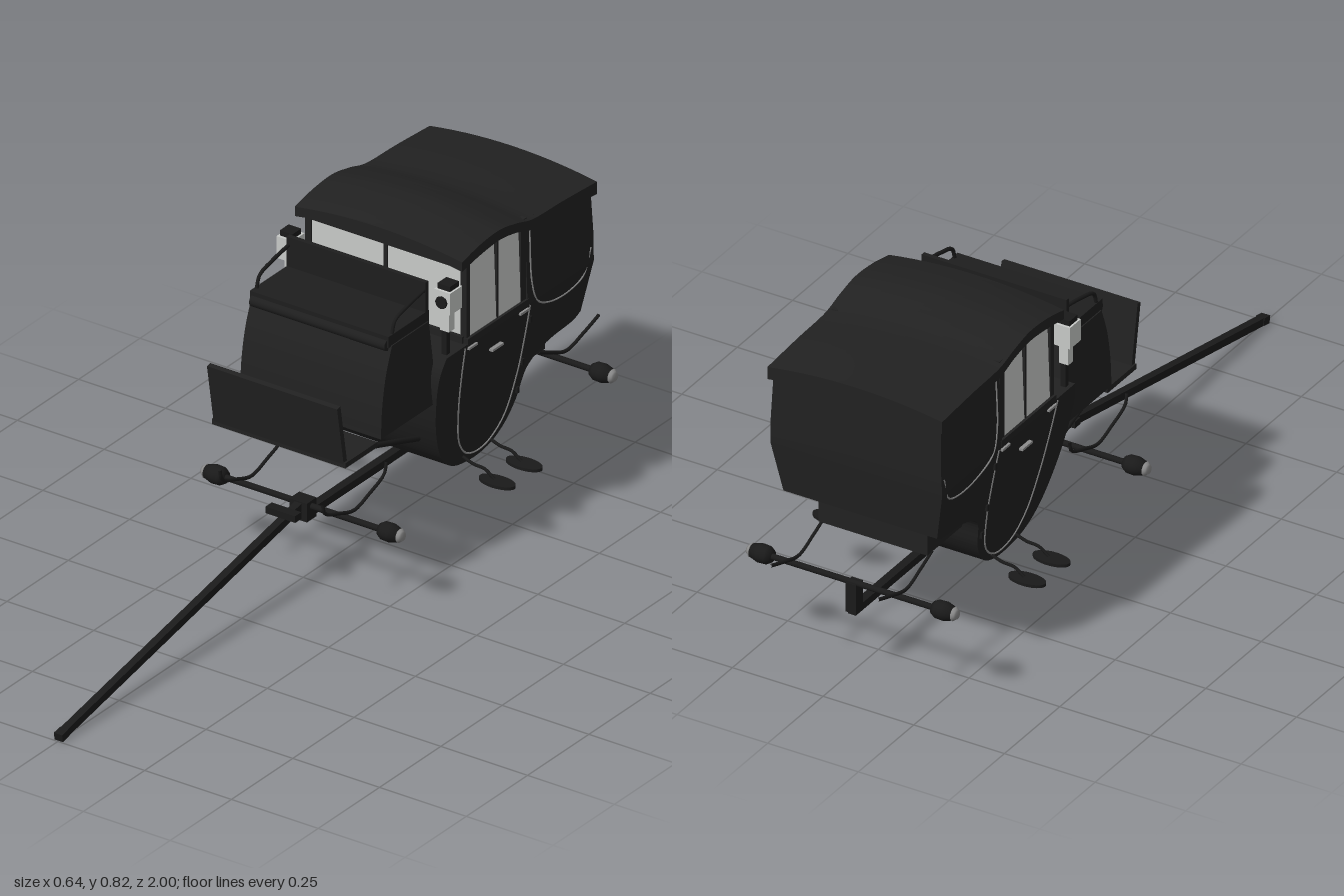
import * as THREE from 'three';
import { toCreasedNormals } from 'three/addons/utils/BufferGeometryUtils.js';

const mat = (name, color, side = THREE.FrontSide) => {
  const m = new THREE.MeshStandardMaterial({ color, side });
  m.name = name;
  return m;
};

export function createModel() {
  const root = new THREE.Group();
  root.name = 'carriage';
  const paint = mat('black paint', 0x212121);
  const iron = mat('dark iron', 0x1a1a1a);
  const leather = mat('black leather', 0x1e1e1e);
  const glass = mat('pale glass', 0xc8cac8, THREE.DoubleSide);
  const silver = mat('silver trim', 0x8c8c8c);

  const add = (name, geo, material, x = 0, y = 0, z = 0) => {
    const m = new THREE.Mesh(geo, material);
    m.name = name;
    m.position.set(x, y, z);
    root.add(m);
    return m;
  };
  const box = (name, w, h, d, material, x, y, z) =>
    add(name, new THREE.BoxGeometry(w, h, d), material, x, y, z);
  const tube = (name, pts, r, material, seg = 24) => add(name, new THREE.TubeGeometry(
    new THREE.CatmullRomCurve3(pts.map(p => new THREE.Vector3(...p))), seg, r, 6), material);
  // Straight square bar between two points of the same x
  const bar = (name, x, a, b, w, h, material) => {
    const dz = b[0] - a[0], dy = b[1] - a[1];
    const m = box(name, w, h, Math.hypot(dz, dy), material, x, (a[1] + b[1]) / 2, (a[0] + b[0]) / 2);
    m.rotation.x = -Math.atan2(dy, dz);
    return m;
  };
  // Side profile in (z, y) extruded across x, then reshaped by a rule
  const across = (shape, width, rule, steps = 1) => {
    const g = new THREE.ExtrudeGeometry(shape, { depth: width, steps, bevelEnabled: false, curveSegments: 30 });
    g.translate(0, 0, -width / 2).rotateY(-Math.PI / 2);
    const p = g.attributes.position;
    for (let i = 0; rule && i < p.count; i++) {
      const [x, y] = rule(p.getX(i), p.getY(i));
      p.setXY(i, x, y);
    }
    return toCreasedNormals(g, 0.5);
  };
  const V = (z, y) => new THREE.Vector2(z, y);
  const vs = list => list.map(p => V(...p));

  // Half width of the cabin at a height
  const half = y => y < 0.55
    ? THREE.MathUtils.mapLinear(y, 0.175, 0.55, 0.167, 0.237)
    : THREE.MathUtils.mapLinear(y, 0.55, 0.78, 0.237, 0.229);
  const taper = (x, y) => [Math.sign(x) * half(y), y];

  // Lower body with its boat-shaped belly
  const belly = new THREE.Shape();
  belly.moveTo(-0.85, 0.55);
  belly.lineTo(-0.832, 0.415);
  belly.splineThru(vs([[-0.8, 0.4], [-0.7, 0.388], [-0.63, 0.35], [-0.605, 0.27], [-0.57, 0.215], [-0.52, 0.183],
    [-0.45, 0.174], [-0.37, 0.19], [-0.31, 0.24], [-0.265, 0.33], [-0.24, 0.43], [-0.235, 0.5], [-0.25, 0.55]]));
  belly.closePath();
  add('lowerBody', across(belly, 1, taper), paint);

  // Solid rear quarter and the box under it
  const quarter = new THREE.Shape(vs([[-0.58, 0.55], [-0.58, 0.775], [-0.845, 0.755], [-0.852, 0.62], [-0.85, 0.55]]));
  add('rearQuarter', across(quarter, 1, taper), paint);
  box('rearUnderBox', 0.3, 0.09, 0.16, paint, 0, 0.365, -0.695);

  // Arched roof, swept up over the doors
  const roof = new THREE.Shape();
  roof.moveTo(-0.857, 0.745);
  roof.lineTo(-0.857, 0.778);
  roof.splineThru(vs([[-0.72, 0.787], [-0.6, 0.792], [-0.53, 0.81], [-0.46, 0.823], [-0.38, 0.818], [-0.307, 0.803]]));
  roof.lineTo(-0.307, 0.778);
  roof.splineThru(vs([[-0.38, 0.79], [-0.46, 0.796], [-0.53, 0.785], [-0.6, 0.765], [-0.72, 0.758], [-0.857, 0.745]]));
  const crown = (x, y) => [x, y - 0.02 * (x / 0.24) ** 2];
  add('roof', across(roof, 0.482, crown, 14), paint);
  box('frontCornice', 0.476, 0.016, 0.012, paint, 0, 0.768, -0.318);

  // Front window with posts, sill and centre bar
  box('frontGlass', 0.43, 0.225, 0.006, glass, 0, 0.667, -0.343);
  box('frontSill', 0.45, 0.02, 0.02, paint, 0, 0.558, -0.34);
  box('frontMullion', 0.009, 0.225, 0.012, paint, 0, 0.667, -0.341);

  const dash = new THREE.Shape(vs([[-0.345, 0.56], [-0.575, 0.56], [-0.575, 0.773], [-0.52, 0.785], [-0.45, 0.79], [-0.345, 0.772]]));
  for (const s of [1, -1]) {
    // Door window and its frame
    const pane = add('doorGlass', across(dash, 0.004, (x, y) => [x + s * (half(y) - 0.008), y]), glass);
    pane.name = s > 0 ? 'leftDoorGlass' : 'rightDoorGlass';
    for (const [z, w] of [[-0.345, 0.016], [-0.465, 0.007], [-0.572, 0.022]])
      box('windowPost', 0.016, 0.235, w, paint, s * 0.224, 0.662, z);
    box('windowSill', 0.014, 0.016, 0.25, paint, s * 0.231, 0.556, -0.46);

    // Silver lines around door and rear quarter
    const line = (name, pts) => tube(name, pts.map(([z, y]) => [s * half(y), y, z]), 0.0024, silver, 48);
    line('doorTrim', [[-0.327, 0.545], [-0.335, 0.45], [-0.35, 0.35], [-0.38, 0.25], [-0.43, 0.198],
      [-0.5, 0.192], [-0.56, 0.24], [-0.588, 0.35], [-0.593, 0.45], [-0.592, 0.545]]);
    line('quarterTrim', [[-0.597, 0.75], [-0.6, 0.6], [-0.62, 0.545], [-0.68, 0.512], [-0.76, 0.505],
      [-0.815, 0.525], [-0.84, 0.59]]);
    box('doorHandle', 0.012, 0.006, 0.045, silver, s * 0.23, 0.487, -0.462);
    for (const z of [-0.355, -0.565]) box('doorCatch', 0.01, 0.006, 0.035, silver, s * 0.236, 0.538, z);
    for (const y of [0.3, 0.38, 0.5]) box('doorHinge', 0.012, 0.016, 0.008, iron, s * half(y), y, -0.6);

    // Lantern: lamp housing, glass stem and bracket
    box('lampHousing', 0.046, 0.058, 0.05, glass, s * 0.227, 0.7, -0.27);
    box('lampCap', 0.036, 0.014, 0.036, iron, s * 0.227, 0.736, -0.27);
    box('lampStem', 0.026, 0.055, 0.022, glass, s * 0.224, 0.643, -0.27);
    box('lampBracket', 0.014, 0.07, 0.014, iron, s * 0.22, 0.582, -0.27);

    // Paired oval steps on curved irons
    for (const z of [-0.41, -0.52]) {
      const step = add('step', new THREE.CylinderGeometry(0.05, 0.05, 0.008, 24), iron, s * 0.27, 0.161, z);
      step.scale.z = 0.5;
      tube('stepIron', [[s * 0.165, 0.2, z], [s * 0.2, 0.188, z], [s * 0.235, 0.184, z], [s * 0.262, 0.165, z]], 0.004, iron, 12);
    }

    // Leaf springs, footboard irons and seat rail
    const x = s * 0.148;
    tube('frontSpring', [[x, 0.3, 0.13], [x, 0.272, 0.122], [x, 0.245, 0.06], [x, 0.228, 0],
      [x, 0.245, -0.06], [x, 0.272, -0.122], [x, 0.3, -0.13]], 0.0045, iron);
    tube('rearSpring', [[x, 0.32, -0.75], [x, 0.298, -0.8], [x, 0.275, -0.865], [x, 0.292, -0.935], [x, 0.312, -0.996]], 0.0045, iron);
    tube('footboardIron', [[x, 0.395, 0.08], [x, 0.378, -0.03], [x, 0.345, -0.14], [x, 0.305, -0.26]], 0.007, iron);
    tube('seatRail', [[s * 0.195, 0.67, -0.085], [s * 0.195, 0.705, -0.098], [s * 0.195, 0.722, -0.15], [s * 0.195, 0.735, -0.222]], 0.005, iron);
  }
  const lens = add('lampLens', new THREE.CylinderGeometry(0.016, 0.016, 0.008, 8), iron, 0.227, 0.7, -0.243);
  lens.rotation.x = Math.PI / 2;

  // Driver's seat: swelling box, cushion and backrest
  const seat = new THREE.Shape();
  seat.moveTo(-0.26, 0.42);
  seat.lineTo(-0.03, 0.42);
  seat.splineThru(vs([[-0.035, 0.5], [-0.05, 0.58], [-0.075, 0.65]]));
  seat.lineTo(-0.225, 0.65);
  add('driverSeatBox', across(seat, 0.406), paint);
  box('seatCushion', 0.4, 0.03, 0.165, leather, 0, 0.662, -0.148);
  const roll = add('cushionRoll', new THREE.CylinderGeometry(0.015, 0.015, 0.39, 12), leather, 0, 0.652, -0.07);
  roll.rotation.z = Math.PI / 2;
  box('seatBack', 0.4, 0.1, 0.012, leather, 0, 0.706, -0.222);

  // Footboard and floor
  bar('footboard', 0, [0.092, 0.4], [0.12, 0.565], 0.375, 0.014, paint);
  box('footboardFloor', 0.385, 0.014, 0.13, paint, 0, 0.403, 0.035);

  // Undercarriage: perch, draught pole, block
  box('perch', 0.022, 0.02, 0.87, iron, 0, 0.17, -0.435);
  bar('pole', 0, [0.985, 0.014], [0, 0.205], 0.02, 0.02, iron);
  bar('poleTip', 0, [0.998, 0.012], [0.972, 0.017], 0.024, 0.02, iron);
  box('drawBlock', 0.085, 0.018, 0.025, iron, 0, 0.21, 0.08);
  box('axleBlock', 0.05, 0.05, 0.04, iron, 0, 0.19, 0);
  box('rearAxleBlock', 0.03, 0.08, 0.03, iron, 0, 0.207, -0.86);

  // Axles with barrel hubs and caps
  const hubShape = vs([[0, 0], [0.016, 0], [0.023, 0.012], [0.024, 0.032], [0.017, 0.056], [0, 0.056]]);
  const capShape = vs([[0, 0], [0.016, 0], [0.018, 0.005], [0.013, 0.01], [0.011, 0.014], [0, 0.014]]);
  for (const [name, y, z] of [['front', 0.2, 0], ['rear', 0.247, -0.865]]) {
    const axle = add(name + 'Axle', new THREE.CylinderGeometry(0.008, 0.008, 0.48, 10), iron, 0, y, z);
    axle.rotation.z = Math.PI / 2;
    for (const s of [1, -1]) {
      const hub = add(name + 'Hub', new THREE.LatheGeometry(hubShape, 16), iron, s * 0.222, y, z);
      const cap = add(name + 'HubCap', new THREE.LatheGeometry(capShape, 16), silver, s * 0.275, y, z);
      hub.rotation.z = cap.rotation.z = -s * Math.PI / 2;
    }
  }
  return root;
}
